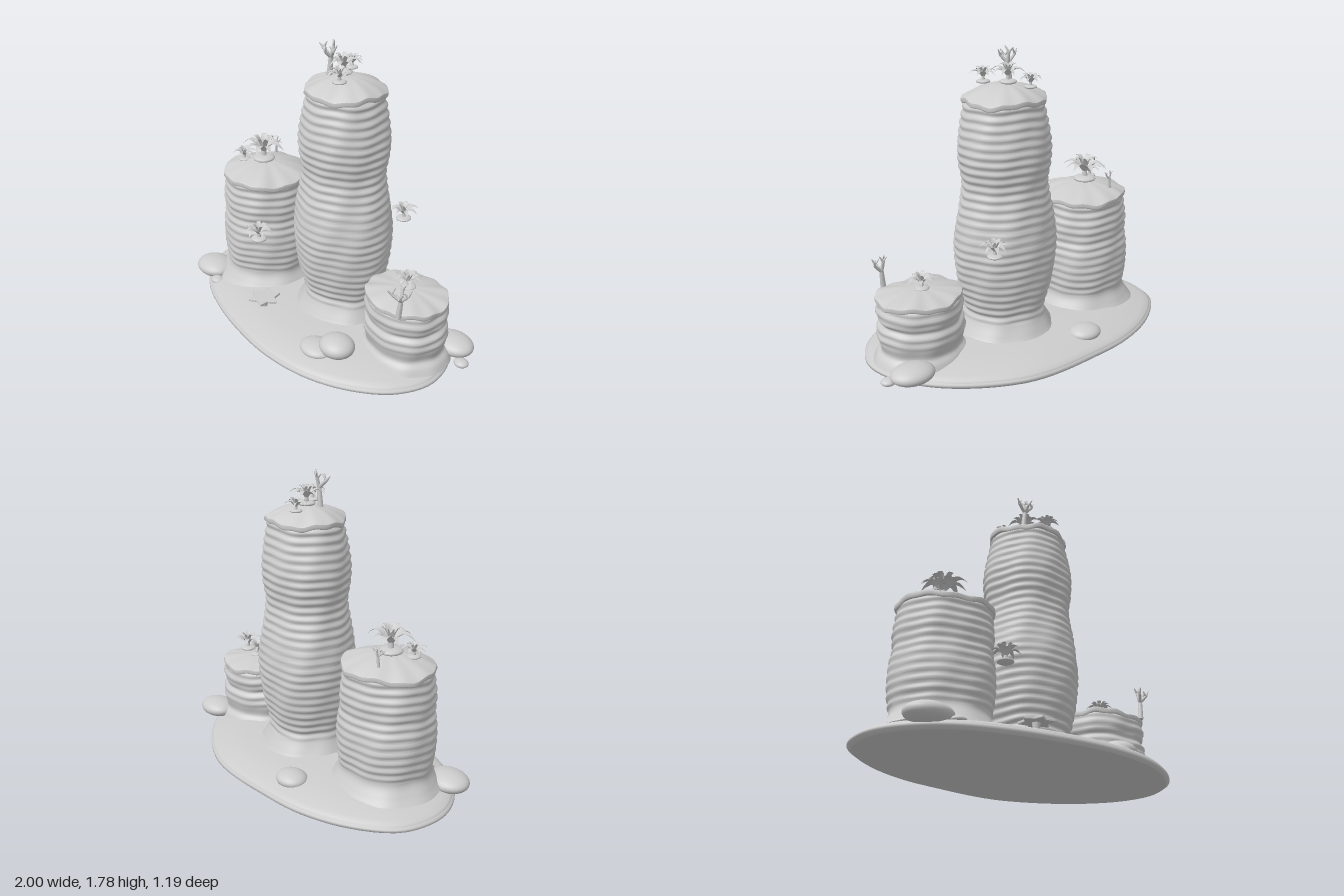
import * as THREE from 'three';

const stone = new THREE.MeshStandardMaterial({ color: 0xcccccc, side: THREE.DoubleSide });
stone.name = 'pale grey stone';

const add = (parent, name, geo) => {
  const mesh = new THREE.Mesh(geo, stone);
  mesh.name = name;
  parent.add(mesh);
  return mesh;
};

// Skin closed rings from bottom to top; a repeated row makes a sharp edge
function loft(rows, n, place) {
  const pos = [], index = [];
  rows.forEach((row) => {
    for (let j = 0; j < n; j++) pos.push(...place(j / n * Math.PI * 2, row));
  });
  for (let i = 0; i < rows.length - 1; i++) {
    for (let j = 0; j < n; j++) {
      const k = (j + 1) % n, a = i * n + j, b = i * n + k, c = a + n, d = b + n;
      index.push(a, c, b, b, c, d);
    }
  }
  const geo = new THREE.BufferGeometry();
  geo.setAttribute('position', new THREE.Float32BufferAttribute(pos, 3));
  geo.setIndex(index);
  geo.computeVertexNormals();
  return geo;
}

// Egg-shaped sloping ground
function ground(parent) {
  const outline = new THREE.CatmullRomCurve3([
    [0.95, 0.05], [0.88, 0.25], [0.7, 0.42], [0.45, 0.54], [0.15, 0.59], [-0.15, 0.575], [-0.45, 0.52],
    [-0.7, 0.43], [-0.87, 0.3], [-0.97, 0.15], [-1, 0], [-0.96, -0.19], [-0.75, -0.39], [-0.47, -0.52],
    [-0.2, -0.57], [0.1, -0.6], [0.3, -0.58], [0.55, -0.48], [0.75, -0.34], [0.9, -0.15],
  ].map(([x, z]) => new THREE.Vector3(x, 0, z)), true);
  const rows = [[0, 0], [0.975, 0], [0.975, 0], [1, 0.015], [1, 0.03], [0.985, 0.036], [0.985, 0.036],
    [0.975, 0.05], [0.93, 0.062], [0.82, 0.083], [0.68, 0.1], [0.4, 0.113], [0, 0.12]];
  add(parent, 'ground', loft(rows, 96, (t, [s, y]) => {
    const p = outline.getPoint(t / (Math.PI * 2));
    return [p.x * s, y, p.z * s];
  }));
}

// Layered pillar with flared foot, overhanging rim and domed cap
function pillar(parent, name, o) {
  const g = new THREE.Group();
  g.name = name;
  g.position.set(o.x, 0, o.z);
  parent.add(g);
  const lumps = (t, y) => 0.014 * Math.sin(3 * t + o.seed + y * 2) + 0.012 * Math.sin(5 * t - o.seed * 2 + y * 5)
    + 0.008 * Math.sin(9 * t + y * 14 + o.seed);
  const curve = new THREE.CatmullRomCurve3(o.profile.map(([r, y]) => new THREE.Vector3(r, y, 0)));
  const count = Math.round((o.rim - 0.08) / 0.009);
  const rows = Array.from({ length: count + 1 }, (_, i) => curve.getPoint(i / count));
  add(g, 'pillarBody', loft(rows, 64, (t, p) => {
    const strata = p.y > 0.2 ? 0.005 * Math.sin(p.y * 125 + 0.8 * Math.sin(2 * t + o.seed) + 0.5 * Math.sin(5 * t)) : 0;
    const r = p.x * (1 + lumps(t, p.y)) + strata;
    return [Math.cos(t) * r * o.sx, p.y, Math.sin(t) * r * o.sz];
  }));
  const R = o.capRadius;
  const cap = [[0.7, 0], [0.985, 0], [0.985, 0], [1.01, 0.01], [1, 0.028], [1, 0.028]];
  for (let i = 0; i <= 8; i++) {
    const s = 0.97 * (1 - i / 8);
    cap.push([s, 0.03 + o.dome * (1 - s * s)]);
  }
  add(g, 'pillarCap', loft(cap, 64, (t, [s, y]) => {
    const r = R * s * (1 + lumps(t, o.rim) * 1.3);
    const wave = s * s * (0.008 * Math.sin(4 * t + o.seed) + 0.005 * Math.sin(11 * t));
    return [Math.cos(t) * r * o.sx, o.rim + y + wave, Math.sin(t) * r * o.sz];
  }));
}

// Folded pointed leaf that rises and then droops outwards
function leafGeometry(length, width, rise, droop) {
  const pos = [], index = [], n = 6;
  for (let i = 0; i <= n; i++) {
    const t = i / n, w = width * Math.sin(Math.PI * (0.12 + 0.88 * t)) * 0.5;
    const y = rise * Math.sin(Math.PI * 0.5 * Math.min(1, t * 1.4)) - droop * t * t * t;
    pos.push(length * t, y + w * 0.3, -w, length * t, y, 0, length * t, y + w * 0.3, w);
    if (i < n) for (const k of [0, 1]) {
      const a = i * 3 + k;
      index.push(a, a + 1, a + 3, a + 1, a + 4, a + 3);
    }
  }
  const geo = new THREE.BufferGeometry();
  geo.setAttribute('position', new THREE.Float32BufferAttribute(pos, 3));
  geo.setIndex(index);
  geo.computeVertexNormals();
  return geo;
}

// Rosette plant: two rings of leaves on a small pebble
function rosette(parent, x, y, z, r, spin = 0) {
  const g = new THREE.Group();
  g.name = 'rosettePlant';
  g.position.set(x, y, z);
  g.rotation.y = spin;
  parent.add(g);
  const foot = add(g, 'plantFoot', new THREE.SphereGeometry(1, 18, 10));
  foot.scale.set(r * 0.48, r * 0.14, r * 0.48);
  add(g, 'plantStem', new THREE.CylinderGeometry(r * 0.1, r * 0.14, r * 0.4, 8)).position.y = r * 0.2;
  const outer = leafGeometry(r, r * 0.34, r * 0.62, r * 0.32);
  const inner = leafGeometry(r * 0.55, r * 0.26, r * 0.75, r * 0.1);
  for (let i = 0; i < 8; i++) {
    const leaf = add(g, 'outerLeaf', outer);
    leaf.rotation.y = i * Math.PI / 4 + 0.12 * Math.sin(i * 5);
    leaf.scale.setScalar(1 - 0.1 * (i % 2));
    leaf.position.y = r * 0.22;
  }
  for (let i = 0; i < 5; i++) {
    const leaf = add(g, 'innerLeaf', inner);
    leaf.rotation.y = i * Math.PI * 0.4 + 0.3;
    leaf.position.y = r * 0.25;
  }
}

function limb(parent, a, b, r0, r1) {
  const dir = b.clone().sub(a);
  const mesh = add(parent, 'branch', new THREE.CylinderGeometry(r1, r0, dir.length(), 8));
  mesh.position.copy(a).addScaledVector(dir, 0.5);
  mesh.quaternion.setFromUnitVectors(new THREE.Vector3(0, 1, 0), dir.normalize());
}

// Forked branching plant
function branching(parent, x, y, z, h, spin = 0) {
  const g = new THREE.Group();
  g.name = 'branchingPlant';
  g.position.set(x, y, z);
  g.rotation.y = spin;
  g.scale.setScalar(h);
  parent.add(g);
  const v = (a, b, c) => new THREE.Vector3(a, b, c);
  const top = v(0.06, 0.5, 0);
  limb(g, v(0, -0.05, 0), top, 0.085, 0.065);
  [[-0.2, 0.72, 0.06], [0.08, 0.82, -0.08], [0.26, 0.72, 0.08], [0.05, 0.68, 0.2]].forEach(([a, b, c], i) => {
    const fork = v(a, b, c), side = i % 2 ? 1 : -1;
    limb(g, top, fork, 0.055, 0.042);
    limb(g, fork, v(a + 0.1, b + 0.18, c + 0.05 * side), 0.04, 0.015);
    limb(g, fork, v(a - 0.1, b + 0.13, c - 0.06 * side), 0.04, 0.015);
  });
}

export function createModel() {
  const model = new THREE.Group();
  model.name = 'rockPillarGarden';
  ground(model);

  pillar(model, 'tallPillar', {
    x: 0.09, z: -0.05, sx: 1.03, sz: 0.96, seed: 1, rim: 1.48, capRadius: 0.235, dome: 0.075,
    profile: [[0.31, 0.08], [0.275, 0.13], [0.232, 0.22], [0.245, 0.29], [0.272, 0.4], [0.29, 0.54], [0.295, 0.66],
      [0.275, 0.82], [0.255, 0.93], [0.245, 1.02], [0.26, 1.12], [0.265, 1.22], [0.25, 1.34], [0.23, 1.44], [0.22, 1.49]],
  });
  pillar(model, 'middlePillar', {
    x: -0.555, z: 0.05, sx: 1.02, sz: 0.96, seed: 3.4, rim: 0.77, capRadius: 0.268, dome: 0.07,
    profile: [[0.33, 0.08], [0.3, 0.12], [0.268, 0.18], [0.278, 0.26], [0.285, 0.36], [0.28, 0.47], [0.268, 0.54],
      [0.272, 0.63], [0.262, 0.71], [0.255, 0.78]],
  });
  pillar(model, 'shortPillar', {
    x: 0.655, z: -0.045, sx: 1.07, sz: 0.92, seed: 5.2, rim: 0.415, capRadius: 0.237, dome: 0.035,
    profile: [[0.27, 0.06], [0.25, 0.1], [0.225, 0.13], [0.235, 0.18], [0.242, 0.23], [0.235, 0.27], [0.222, 0.3],
      [0.238, 0.34], [0.234, 0.39], [0.222, 0.425]],
  });

  // Boulders: centre, then half sizes
  [[-0.79, 0.085, 0.32, 0.135, 0.057, 0.112], [-0.665, 0.06, 0.39, 0.045, 0.02, 0.04],
    [0.455, 0.125, 0.3, 0.11, 0.062, 0.1], [0.355, 0.088, 0.37, 0.11, 0.04, 0.09],
    [-0.255, 0.09, -0.4, 0.1, 0.046, 0.088], [0.83, 0.092, -0.27, 0.13, 0.055, 0.102],
    [0.95, 0.05, -0.21, 0.045, 0.022, 0.04],
  ].forEach(([x, y, z, a, b, c]) => {
    const rock = add(model, 'boulder', new THREE.SphereGeometry(1, 28, 18));
    rock.position.set(x, y, z);
    rock.scale.set(a, b, c);
  });

  // Star-shaped table growth on a short stem
  const star = new THREE.Shape();
  for (let i = 0; i < 12; i++) {
    const r = i % 2 ? 0.06 : 0.094, a = i * Math.PI / 6 + 0.2;
    star[i ? 'lineTo' : 'moveTo'](Math.cos(a) * r, Math.sin(a) * r);
  }
  const plate = add(model, 'starPlate', new THREE.ExtrudeGeometry(star,
    { depth: 0.008, bevelSize: 0.004, bevelThickness: 0.004, bevelSegments: 2 }));
  plate.rotation.x = -Math.PI / 2;
  plate.position.set(-0.17, 0.157, 0.36);
  add(model, 'starStem', new THREE.CylinderGeometry(0.025, 0.016, 0.07, 12)).position.set(-0.17, 0.13, 0.36);

  // Rosettes on the caps and on the pillar sides
  [[0, 1.575, -0.18, 0.075], [0.07, 1.59, -0.06, 0.105], [0.165, 1.583, 0.05, 0.085],
    [-0.57, 0.875, 0.05, 0.145], [-0.67, 0.855, 0.13, 0.08], [-0.315, 0.485, 0.285, 0.1],
    [0.325, 0.69, -0.32, 0.095], [0.65, 0.48, -0.06, 0.09],
  ].forEach(([x, y, z, r], i) => rosette(model, x, y, z, r, i * 0.7));

  branching(model, 0.02, 1.58, 0, 0.2);
  branching(model, 0.79, 0.44, 0.15, 0.2, 0.6);
  branching(model, -0.65, 0.845, -0.1, 0.11, 0.4);
  return model;
}
